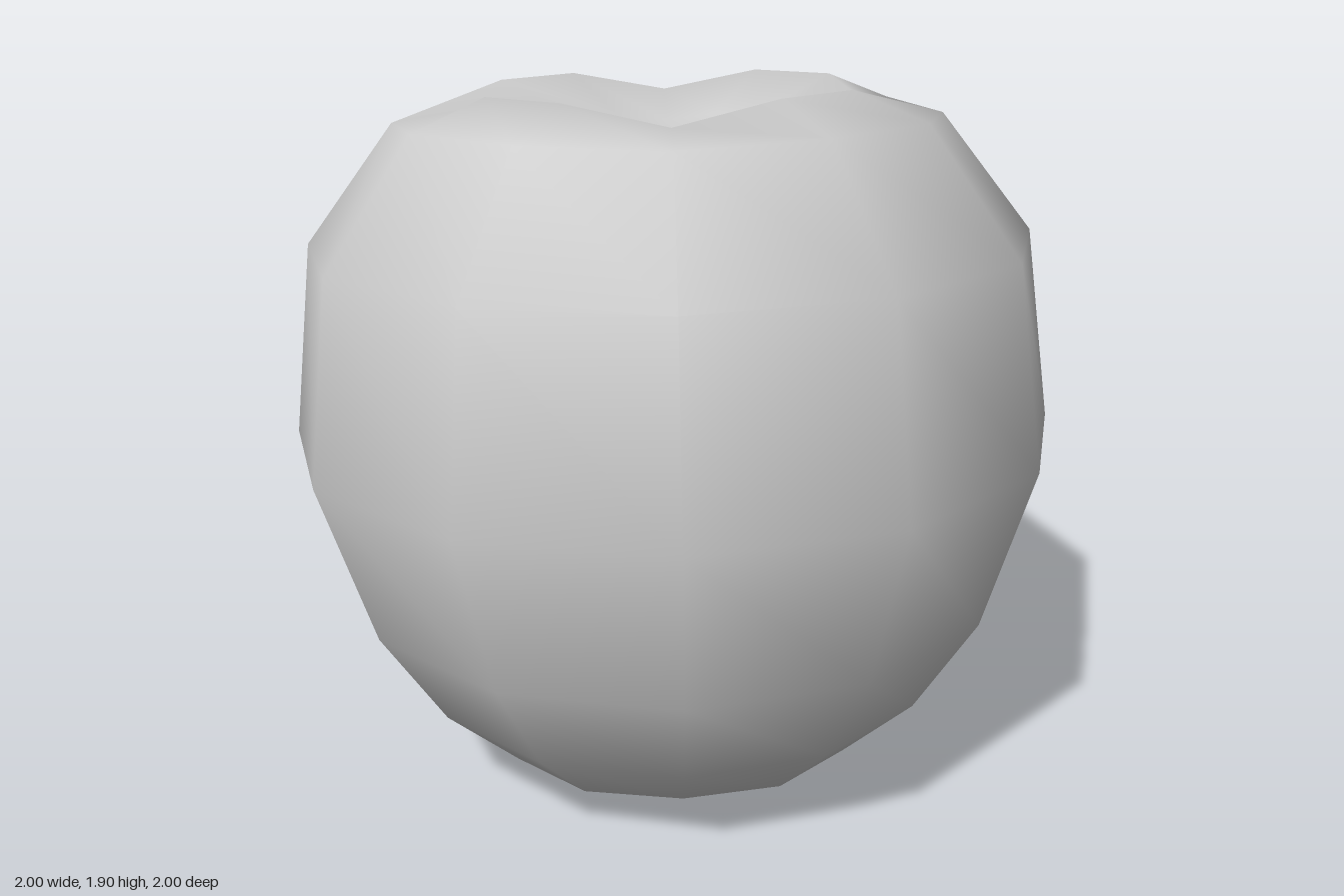
import * as THREE from 'three';
import { mergeVertices } from 'three/addons/utils/BufferGeometryUtils.js';

const SIDES = 12;
const MIDDLE = 0.96; // height of the widest ring, pivot of the lean

// radius, height, height change on the four diagonal corners (makes the lobes)
const RINGS = [
  [0, 0.1, 0],
  [0.27, 0.02, 0.03],
  [0.52, 0.075, 0.01],
  [0.72, 0.255, 0],
  [0.895, 0.525, 0],
  [1.035, 0.96, 0],
  [0.968, 1.48, 0],
  [0.725, 1.805, -0.01],
  [0.523, 1.88, -0.055],
  [0.27, 1.78, -0.02],
  [0, 1.62, 0],
];

function fruitGeometry() {
  const profile = RINGS.map(([r, y]) => new THREE.Vector2(r, y));
  let geo = new THREE.LatheGeometry(profile, SIDES, Math.PI / SIDES);

  // Raise or lower the diagonal corners of the top and bottom rims
  const pos = geo.attributes.position;
  for (let i = 0; i < pos.count; i++) {
    const diagonal = Math.floor(i / RINGS.length) % 3 === 1;
    const shift = diagonal ? RINGS[i % RINGS.length][2] : 0;
    pos.setY(i, pos.getY(i) + shift - MIDDLE);
  }

  // Weld the seam and poles so the skin shades smoothly
  geo.deleteAttribute('uv');
  geo.deleteAttribute('normal');
  geo = mergeVertices(geo, 1e-4);
  geo.computeVertexNormals();
  return geo;
}

export function createModel() {
  const group = new THREE.Group();
  group.name = 'apple';

  const fruit = new THREE.Mesh(
    fruitGeometry(),
    new THREE.MeshStandardMaterial({ color: 0xcccccc }),
  );
  fruit.name = 'fruit';
  fruit.position.y = MIDDLE;
  fruit.rotation.set(-0.03, 0, 0.053); // slight lean
  group.add(fruit);
  return group;
}
